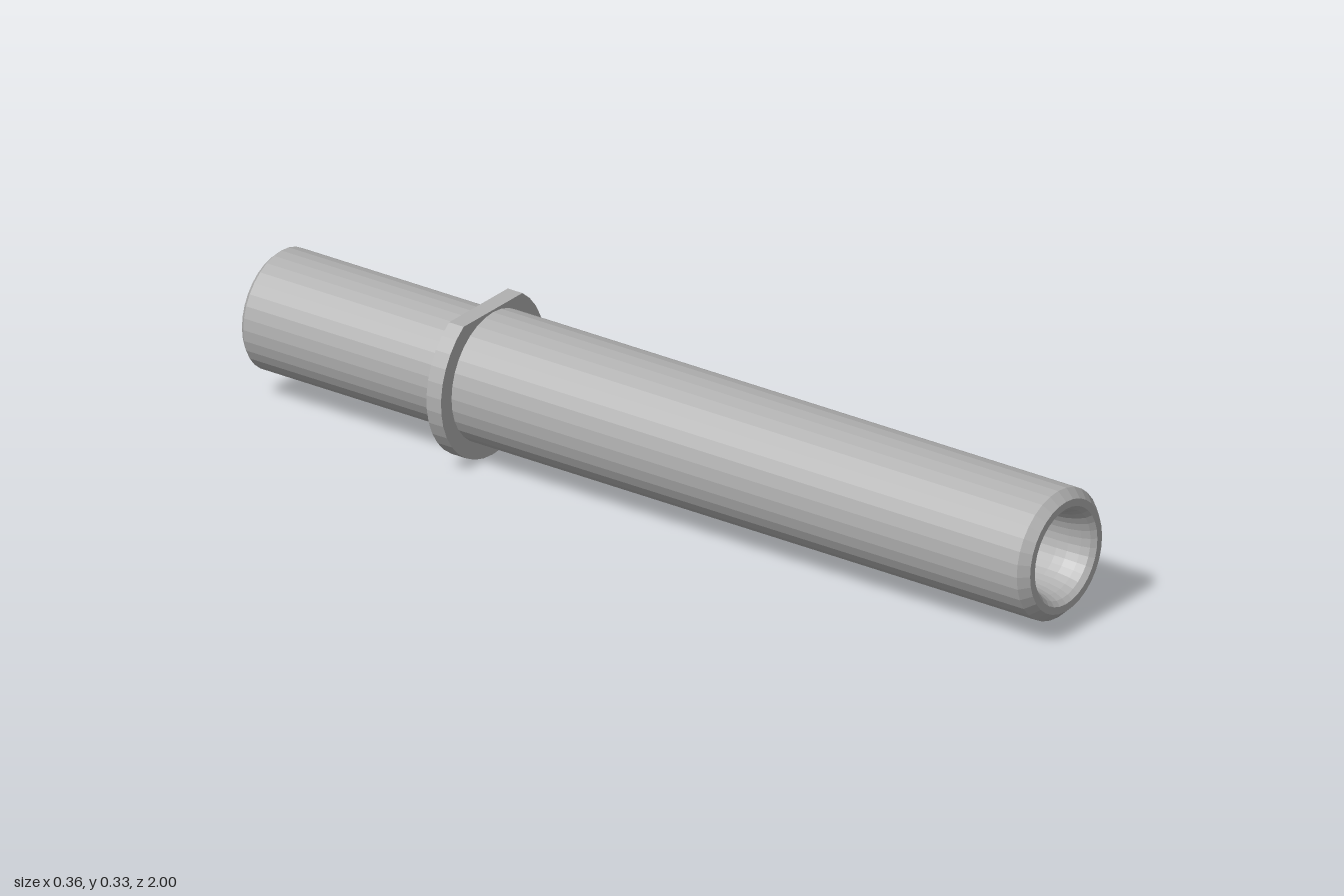
import * as THREE from 'three';

const SEGMENTS = 32;
const AXIS_Y = 0.179;

// Revolve a list of [radius, z] points about the z axis, with faceted sides
function turned(profile) {
  const points = profile.map(([r, z]) => new THREE.Vector2(r, z));
  const lathe = new THREE.LatheGeometry(points, SEGMENTS);
  lathe.rotateX(Math.PI / 2);
  const faceted = lathe.toNonIndexed();
  faceted.computeVertexNormals();
  return faceted;
}

// Ring with one flat cut across the top
function collarGeometry(radius, flatHeight, holeRadius, depth) {
  const start = Math.PI - Math.asin(flatHeight / radius);
  const sweep = 3 * Math.PI - 2 * start;
  const outline = [];
  for (let i = 0; i <= 28; i++) {
    const a = start + (sweep * i) / 28;
    outline.push(new THREE.Vector2(Math.cos(a) * radius, Math.sin(a) * radius));
  }
  const shape = new THREE.Shape(outline);
  shape.holes.push(new THREE.Path().absarc(0, 0, holeRadius, 0, Math.PI * 2, true));
  return new THREE.ExtrudeGeometry(shape, { depth, bevelEnabled: false, curveSegments: 16 });
}

export function createModel() {
  const group = new THREE.Group();
  const steel = new THREE.MeshStandardMaterial({ color: 0xb0b0b0 });

  const add = (name, geometry, z = 0) => {
    const mesh = new THREE.Mesh(geometry, steel);
    mesh.name = name;
    mesh.position.set(0, AXIS_Y, z);
    group.add(mesh);
  };

  // Hollow stepped tube: chamfered ends, flared front mouth, straight bore
  add('steppedTube', turned([
    [0.081, -0.99], [0.088, -1], [0.121, -1], [0.13, -0.99],
    [0.13, -0.472], [0.142, -0.472],
    [0.142, 0.98], [0.123, 1],
    [0.107, 1], [0.097, 0.99], [0.089, 0.972], [0.083, 0.945], [0.081, 0.92],
    [0.081, -0.99],
  ]));

  // Thin locating collar between the two diameters
  add('collar', collarGeometry(0.178, 0.147, 0.125, 0.037), -0.49);

  return group;
}
